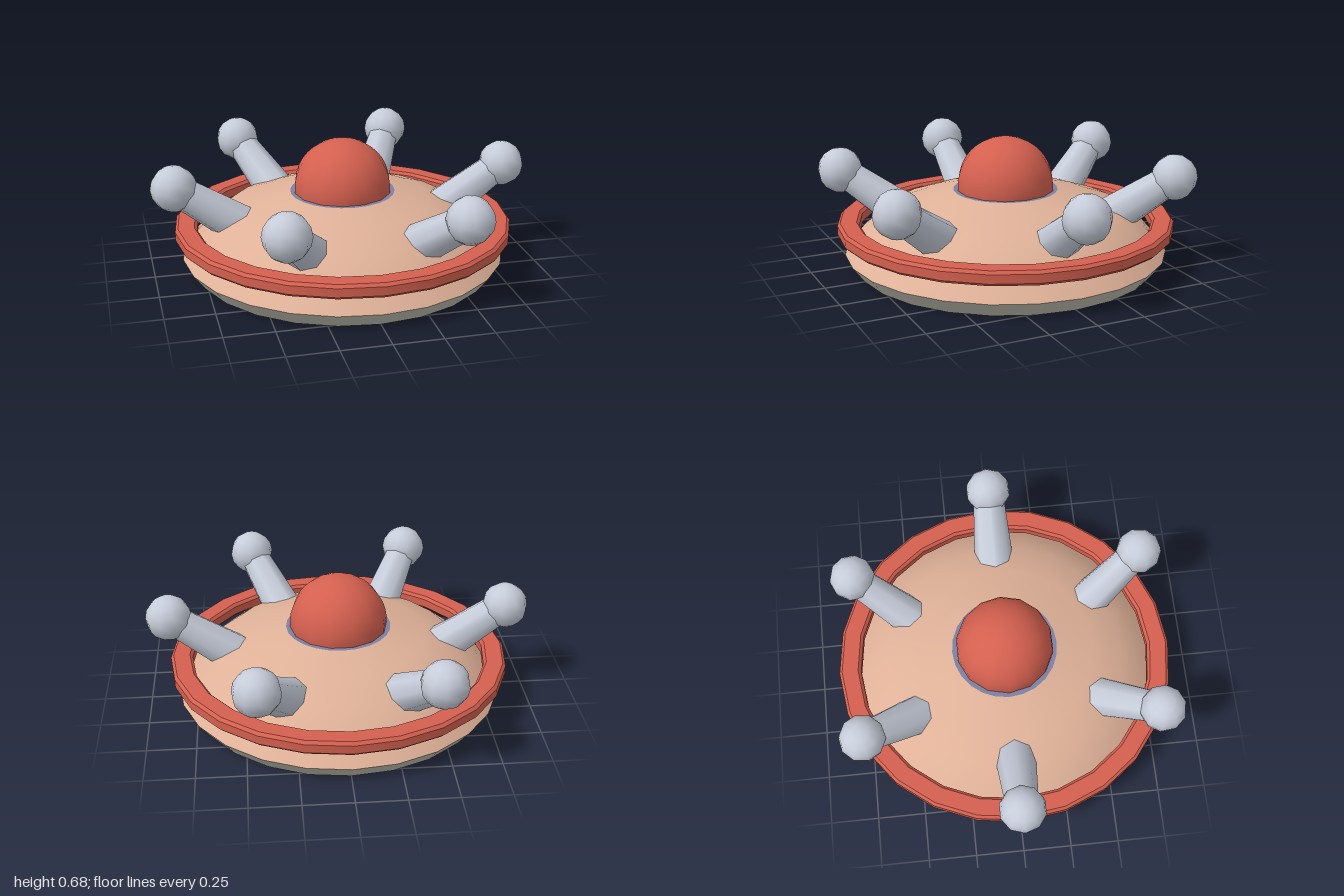
import * as THREE from 'three';
import { toCreasedNormals } from 'three/addons/utils/BufferGeometryUtils.js';

const mat = (name, color) => {
  const m = new THREE.MeshStandardMaterial({ color });
  m.name = name;
  return m;
};

export function createModel() {
  const model = new THREE.Group();
  model.name = 'flyingSaucer';
  const red = mat('coral red', 0xd4604f);
  const tan = mat('warm tan', 0xdfb198);
  const stone = mat('stone grey', 0xbfbdaf);
  const silver = mat('silver', 0xc6ccd9);
  const slate = mat('slate blue', 0x7b80a3);

  const add = (name, geometry, material, parent = model) => {
    const mesh = new THREE.Mesh(geometry, material);
    mesh.name = name;
    parent.add(mesh);
    return mesh;
  };
  // Profiles run from bottom to top on the outside
  const lathe = (points, crease, segments = 24) =>
    toCreasedNormals(new THREE.LatheGeometry(points.map(([r, y]) => new THREE.Vector2(r, y)), segments), crease);

  // Hull: flat underside, flared lower band and shallow upper dome
  add('underside', new THREE.CircleGeometry(0.79, 24).rotateX(Math.PI / 2), slate);
  add('lowerBand', lathe([[0.79, 0], [0.85, 0.08]], 0.5), stone);
  add('hull', lathe([[0.85, 0.08], [0.75, 0.19], [0.62, 0.295], [0.46, 0.352], [0.275, 0.4]], 0.6), tan);

  // Cockpit: collar disc and rounded cap
  add('collar', new THREE.CircleGeometry(0.275, 24).rotateX(-Math.PI / 2).translate(0, 0.4, 0), slate);
  add('cockpit', new THREE.SphereGeometry(0.255, 14, 10, 0, Math.PI * 2, 0, Math.PI * 0.53)
    .translate(0, 0.422, 0), red);

  // Chamfered ring floating around the hull
  add('ring', lathe([
    [0.785, 0.18], [0.87, 0.18], [0.885, 0.195], [0.885, 0.24], [0.87, 0.255],
    [0.785, 0.255], [0.77, 0.24], [0.77, 0.195], [0.785, 0.18],
  ], 0.5), red);

  // Six tapered arms, each ending in a ball
  const foot = new THREE.Vector3(0.5, 0.22, 0);
  const tip = new THREE.Vector3(0.88, 0.48, 0);
  const axis = tip.clone().sub(foot);
  const armGeometry = new THREE.CylinderGeometry(0.08, 0.112, axis.length(), 8);
  const ballGeometry = new THREE.SphereGeometry(0.12, 10, 8);
  for (let i = 0; i < 6; i++) {
    const antenna = new THREE.Group();
    antenna.name = `antenna${i + 1}`;
    const arm = add('arm', armGeometry, silver, antenna);
    arm.position.copy(foot).add(tip).multiplyScalar(0.5);
    arm.quaternion.setFromUnitVectors(new THREE.Vector3(0, 1, 0), axis.clone().normalize());
    add('ball', ballGeometry, silver, antenna).position.copy(tip);
    antenna.rotation.y = i * Math.PI / 3;
    model.add(antenna);
  }
  return model;
}
